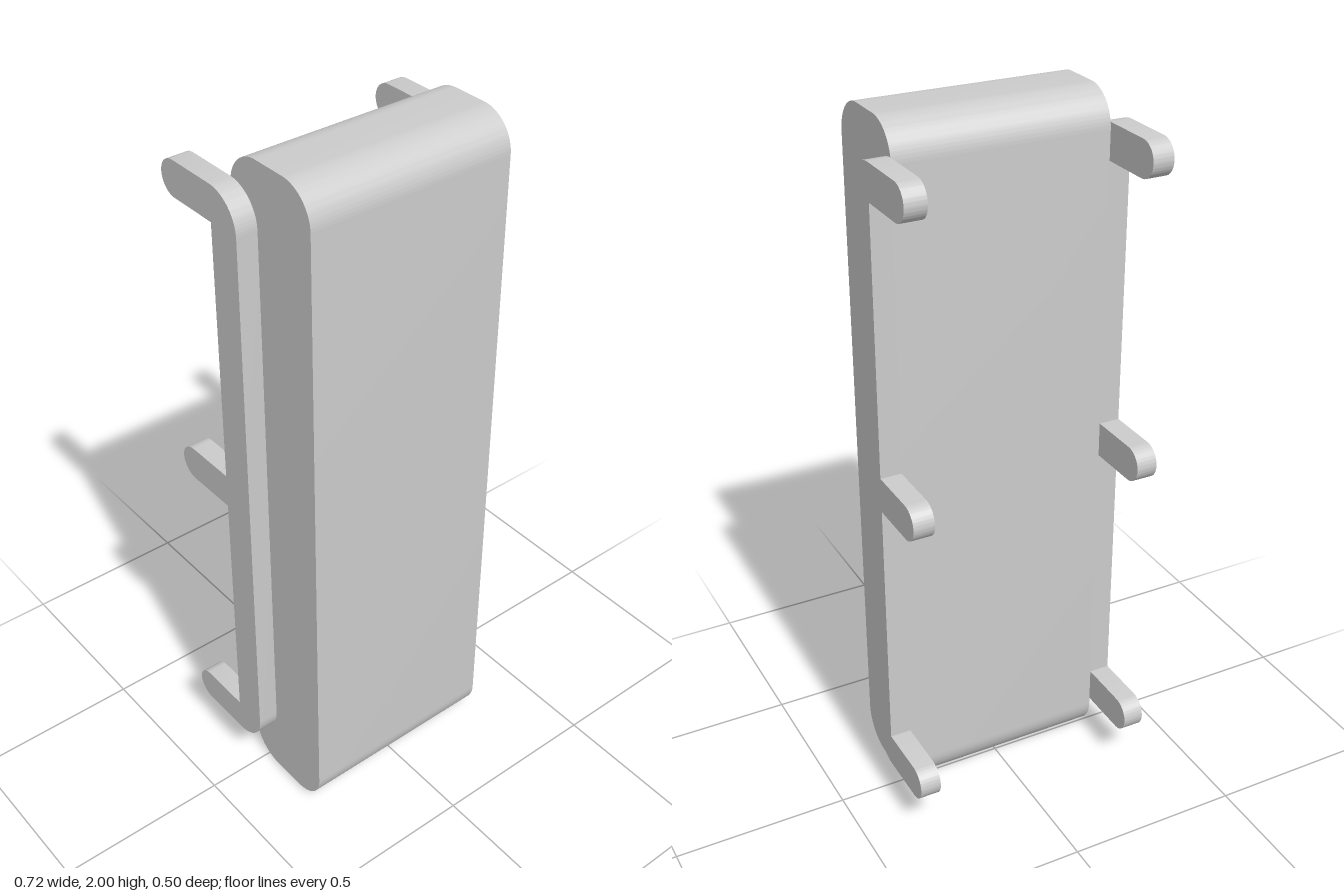
import * as THREE from 'three';
import { toCreasedNormals } from 'three/addons/utils/BufferGeometryUtils.js';

const material = new THREE.MeshStandardMaterial({ color: 0xcccccc });
const Q = Math.PI / 2;

// Extrude a side profile (shape x = model z) across x, centred on x = 0
function sideExtrude(shape, width) {
  const geo = new THREE.ExtrudeGeometry(shape, { depth: width, bevelEnabled: false, curveSegments: 16 });
  geo.translate(0, 0, -width / 2);
  geo.rotateY(-Q);
  return toCreasedNormals(geo, 0.6);
}

function bodyProfile() {
  const s = new THREE.Shape(), r = 0.1;
  s.absarc(0.15, r, r, -Q, 0);
  s.absarc(0.15, 2 - r, r, 0, Q);
  s.absarc(0.05, 2 - r, r, Q, 2 * Q);
  s.absarc(0.05, r, r, 2 * Q, 3 * Q);
  s.closePath();
  return s;
}

// Upright bar with rounded front corners and three round-tipped prongs at the back
function railProfile() {
  const s = new THREE.Shape(), back = -0.05, half = 0.05;
  s.absarc(back, 0.22, 0.1, -Q, 0);
  s.absarc(back, 1.82, 0.1, 0, Q);
  s.absarc(-0.2, 1.87, half, Q, 3 * Q);
  s.lineTo(back, 1.82);
  s.lineTo(back, 1.07);
  s.absarc(-0.2, 1.02, half, Q, 3 * Q);
  s.lineTo(back, 0.97);
  s.lineTo(back, 0.22);
  s.absarc(-0.2, 0.17, half, Q, 3 * Q);
  s.closePath();
  return s;
}

export function createModel() {
  const model = new THREE.Group();
  model.name = 'prongedBlock';

  const body = new THREE.Mesh(sideExtrude(bodyProfile(), 0.6), material);
  body.name = 'body';
  model.add(body);

  // Matching rails on both sides
  const railGeo = sideExtrude(railProfile(), 0.06);
  for (const [name, side] of [['leftRail', 1], ['rightRail', -1]]) {
    const rail = new THREE.Mesh(railGeo, material);
    rail.name = name;
    rail.position.x = side * 0.33;
    model.add(rail);
  }
  return model;
}
